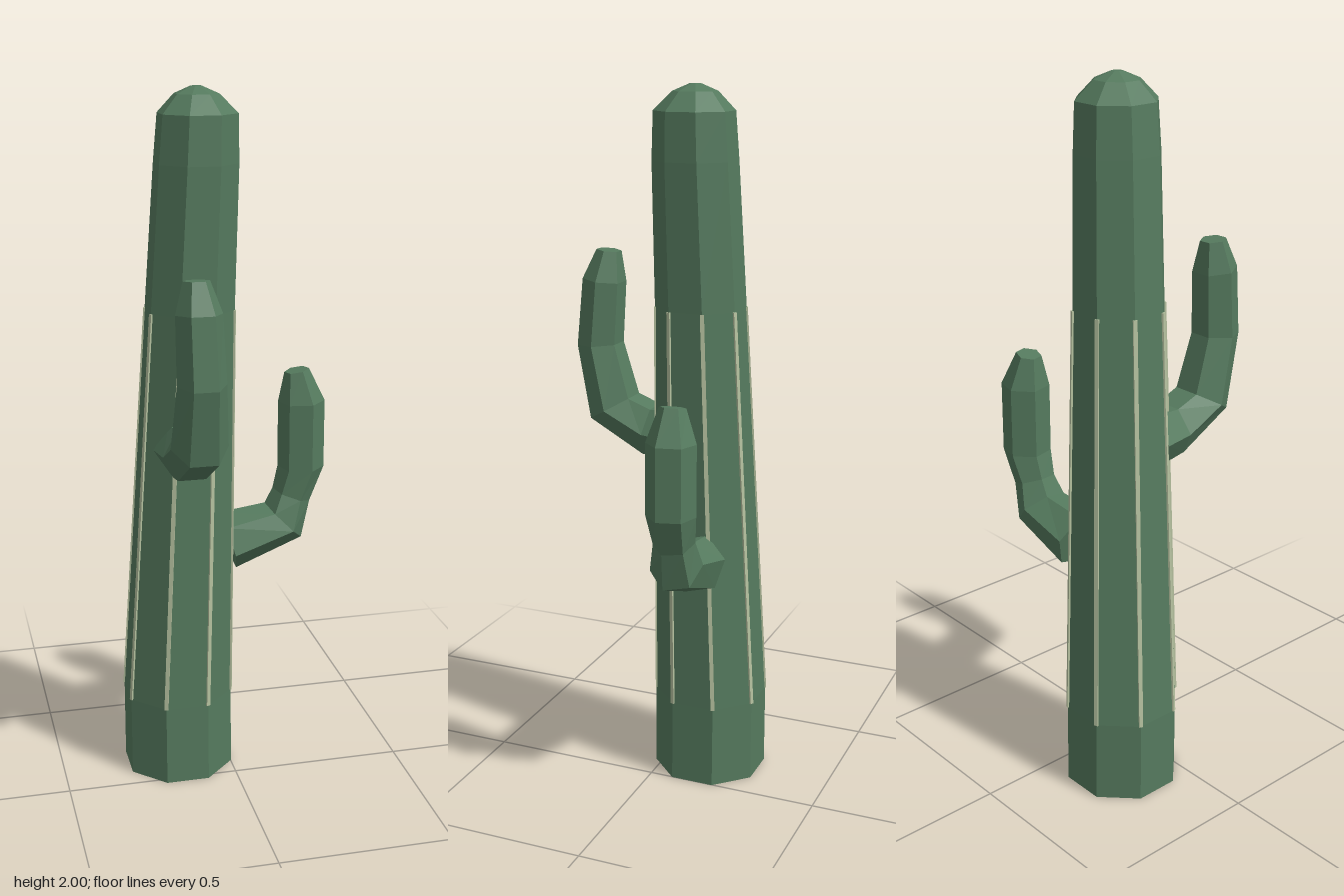
import * as THREE from 'three';

const green = new THREE.MeshStandardMaterial({ color: 0x557a5e, flatShading: true });
const pale = new THREE.MeshStandardMaterial({ color: 0xb6c2a0, flatShading: true });

// Lofts a capped, faceted tube. Each ring is [x, y, z, radius, tilt]:
// tilt 0 faces the horizontal heading, tilt 90 faces straight up.
function loft(name, rings, sides, heading, twist, material) {
  const rad = THREE.MathUtils.degToRad;
  const h = rad(heading);
  const forward = new THREE.Vector3(Math.sin(h), 0, Math.cos(h));
  const side = new THREE.Vector3(Math.cos(h), 0, -Math.sin(h));
  const pos = [], index = [];
  for (const [x, y, z, r, tilt] of rings) {
    const normal = forward.clone().multiplyScalar(Math.cos(rad(tilt)));
    normal.y = Math.sin(rad(tilt));
    const across = normal.clone().cross(side);
    for (let i = 0; i < sides; i++) {
      const a = rad(twist) + (i / sides) * Math.PI * 2;
      const p = new THREE.Vector3(x, y, z)
        .addScaledVector(side, r * Math.cos(a))
        .addScaledVector(across, r * Math.sin(a));
      pos.push(p.x, p.y, p.z);
    }
  }
  const last = (rings.length - 1) * sides;
  for (let k = 0; k < last; k += sides) {
    for (let i = 0; i < sides; i++) {
      const a = k + i, b = k + (i + 1) % sides;
      index.push(a, b, b + sides, a, b + sides, a + sides);
    }
  }
  for (let i = 1; i < sides - 1; i++) {
    index.push(0, i + 1, i, last, last + i, last + i + 1);
  }
  const indexed = new THREE.BufferGeometry();
  indexed.setAttribute('position', new THREE.Float32BufferAttribute(pos, 3));
  indexed.setIndex(index);
  const geometry = indexed.toNonIndexed();
  geometry.computeVertexNormals();
  const mesh = new THREE.Mesh(geometry, material);
  mesh.name = name;
  return mesh;
}

export function createModel() {
  const group = new THREE.Group();
  group.name = 'cactus';

  // Leaning, tapering trunk with a rounded crown
  const trunk = [
    [-0.15, 0, -0.13, 0.164, 90],
    [-0.15, 0.24, -0.13, 0.163, 90],
    [-0.107, 1.4, -0.103, 0.127, 90],
    [-0.088, 1.8, -0.091, 0.118, 90],
    [-0.083, 1.93, -0.089, 0.111, 90],
    [-0.085, 1.98, -0.09, 0.062, 90],
    [-0.086, 2.0, -0.09, 0.015, 90],
  ];
  group.add(loft('trunk', trunk, 8, 0, 22.5, green));

  // Pale spine strips running up the eight ridges
  for (let i = 0; i < 8; i++) {
    const a = ((i + 0.5) / 8) * Math.PI * 2;
    const strip = trunk.slice(1, 3).map(([x, y, z, r]) =>
      [x + (r - 0.003) * Math.cos(a), y, z - (r - 0.003) * Math.sin(a), 0.008, 90]);
    group.add(loft('spineStrip', strip, 4, 0, 45 + (i + 0.5) * 45, pale));
  }

  // Upper arm, growing forward then up
  group.add(loft('frontArm', [
    [-0.14, 1.02, -0.03, 0.088, 0],
    [-0.14, 1.025, 0.06, 0.078, 10],
    [-0.14, 1.083, 0.175, 0.079, 60],
    [-0.142, 1.265, 0.22, 0.067, 86],
    [-0.146, 1.45, 0.208, 0.063, 95],
    [-0.15, 1.535, 0.195, 0.036, 95],
  ], 6, 0, 0, green));

  // Lower arm, growing to the left side then up
  group.add(loft('sideArm', [
    [0.01, 0.69, -0.143, 0.086, 14],
    [0.18, 0.737, -0.15, 0.075, 45],
    [0.205, 0.815, -0.153, 0.058, 70],
    [0.234, 0.9, -0.155, 0.068, 90],
    [0.234, 1.1, -0.155, 0.068, 92],
    [0.218, 1.193, -0.153, 0.036, 100],
  ], 6, 90, 15, green));

  return group;
}
